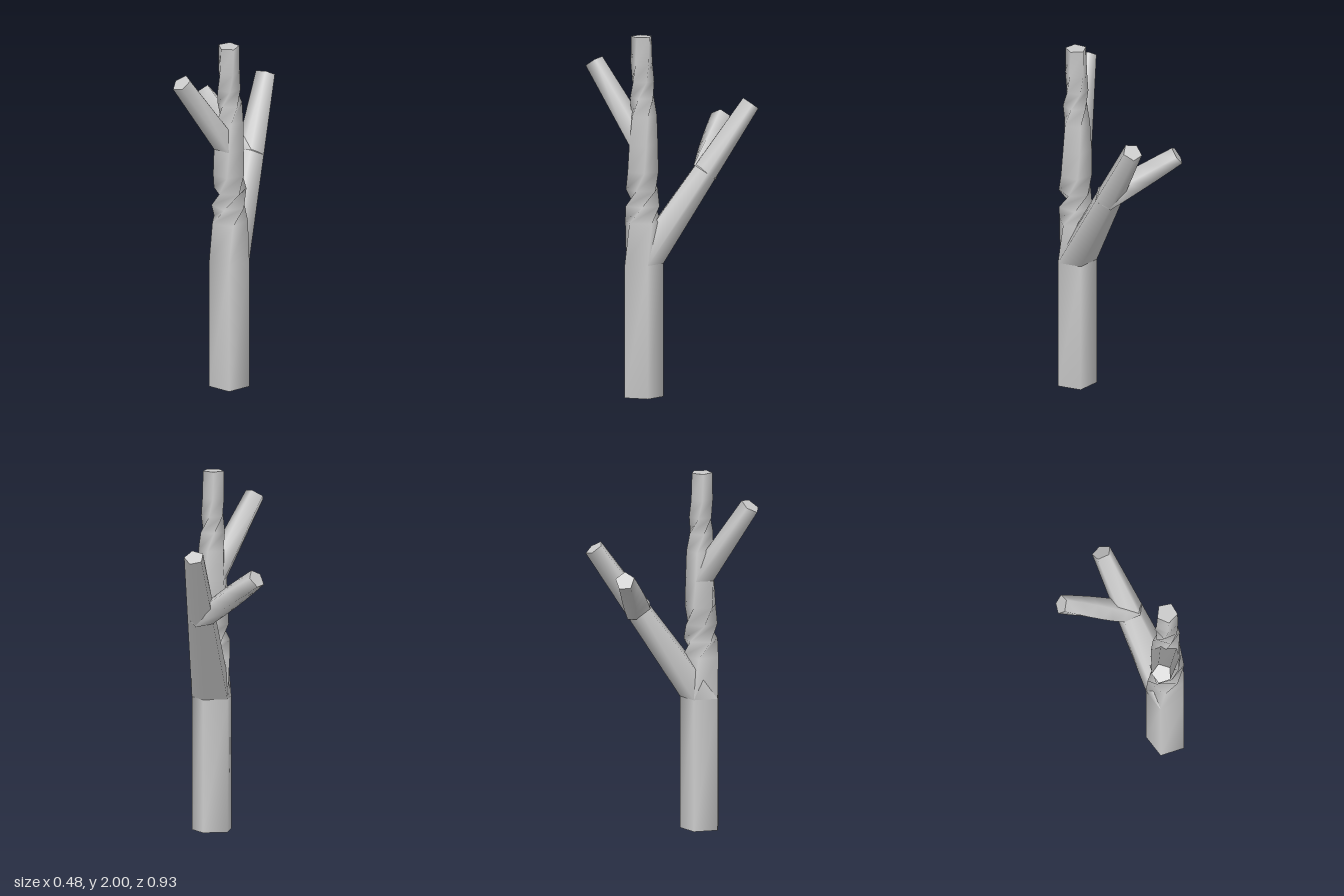
import * as THREE from 'three';

const SIDES = 5;
const UP = new THREE.Vector3(0, 1, 0);
const bark = new THREE.MeshStandardMaterial({ color: 0xcccccc });
const vec = (x, y, z) => new THREE.Vector3(x, y, z);

// Ring: centre p, radius r, orientation q (identity = horizontal), turn in degrees
const ring = (p, r, q = new THREE.Quaternion(), turn = 0) => ({ p, r, q, turn });

function corners({ p, r, q, turn }) {
  return Array.from({ length: SIDES }, (_, i) => {
    const a = (i / SIDES) * Math.PI * 2 + THREE.MathUtils.degToRad(turn);
    return vec(Math.cos(a) * r, 0, Math.sin(a) * r).applyQuaternion(q).add(p);
  });
}

function makeMesh(positions, index, name) {
  const g = new THREE.BufferGeometry();
  g.setAttribute('position', new THREE.Float32BufferAttribute(positions, 3));
  g.setIndex(index);
  g.computeVertexNormals();
  const mesh = new THREE.Mesh(g, bark);
  mesh.name = name;
  return mesh;
}

// Smooth five-sided skin through a list of rings
function skin(name, rings) {
  const pos = rings.flatMap(k => corners(k).flatMap(v => v.toArray()));
  const index = [];
  for (let j = 0; j < rings.length - 1; j++) {
    for (let i = 0; i < SIDES; i++) {
      const a = j * SIDES + i, b = j * SIDES + (i + 1) % SIDES;
      index.push(a, a + SIDES, b, b, a + SIDES, b + SIDES);
    }
  }
  return makeMesh(pos, index, name);
}

// Flat end face
function cap(name, k, faceUp) {
  const index = [];
  for (let i = 1; i < SIDES - 1; i++) index.push(0, ...(faceUp ? [i + 1, i] : [i, i + 1]));
  return makeMesh(corners(k).flatMap(v => v.toArray()), index, name);
}

// Rings interpolated between a start and an end ring
function between(a, b, steps) {
  return Array.from({ length: steps + 1 }, (_, i) => {
    const t = i / steps;
    return ring(a.p.clone().lerp(b.p, t), THREE.MathUtils.lerp(a.r, b.r, t),
      a.q.clone().slerp(b.q, t), THREE.MathUtils.lerp(a.turn, b.turn, t));
  });
}

function branch(name, start, end, steps) {
  const g = new THREE.Group();
  g.name = name;
  g.add(skin(name + 'Bark', between(start, end, steps)), cap(name + 'End', end, true));
  return g;
}

// Orientation of a ring square to the line from a to b
const along = (a, b) => new THREE.Quaternion().setFromUnitVectors(UP, b.clone().sub(a).normalize());

export function createModel() {
  const model = new THREE.Group();
  model.name = 'branchingTrunk';

  // Trunk: straight foot, then two twisted, tapering stretches [y, x, z, radius, turn]
  const trunkRings = [
    [0, 0.124, 0.19, 0.116, 0], [0.74, 0.124, 0.19, 0.116, 0],
    [0.97, 0.12, 0.188, 0.106, -14], [1.06, 0.124, 0.188, 0.098, -55],
    [1.15, 0.127, 0.188, 0.094, -105], [1.25, 0.124, 0.19, 0.09, -136],
    [1.4, 0.122, 0.19, 0.086, -144], [1.56, 0.125, 0.187, 0.077, -150],
    [1.66, 0.126, 0.187, 0.071, -180], [1.75, 0.121, 0.19, 0.066, -222],
    [1.85, 0.12, 0.193, 0.063, -240], [2, 0.121, 0.193, 0.06, -245],
  ].map(([y, x, z, r, turn]) => ring(vec(x, y, z), r, undefined, turn));
  const trunk = new THREE.Group();
  trunk.name = 'trunk';
  trunk.add(skin('trunkBark', trunkRings), cap('trunkTop', trunkRings.at(-1), true),
    cap('trunkBase', trunkRings[0], false));

  // Large rear branch
  const rearStart = ring(vec(0.124, 0.74, 0.19), 0.116);
  const rearTip = vec(0.13, 1.61, -0.42);
  const rearQ = along(rearStart.p, rearTip);
  const rearEnd = ring(rearTip, 0.056, rearQ);

  // Front branch
  const frontStart = ring(vec(0.122, 1.4, 0.19), 0.086);
  const frontTip = vec(-0.078, 1.84, 0.415);
  const frontEnd = ring(frontTip, 0.057, along(frontStart.p, frontTip));

  // Side twig growing from the rear branch, gently twisted
  const twigStart = ring(rearStart.p.clone().lerp(rearTip, 0.57), 0.082, rearQ);
  const twigTip = vec(-0.205, 1.488, -0.342);
  const twigEnd = ring(twigTip, 0.055, along(twigStart.p, twigTip), -50);

  model.add(trunk,
    branch('rearBranch', rearStart, rearEnd, 1),
    branch('frontBranch', frontStart, frontEnd, 1),
    branch('sideTwig', twigStart, twigEnd, 5));
  return model;
}
